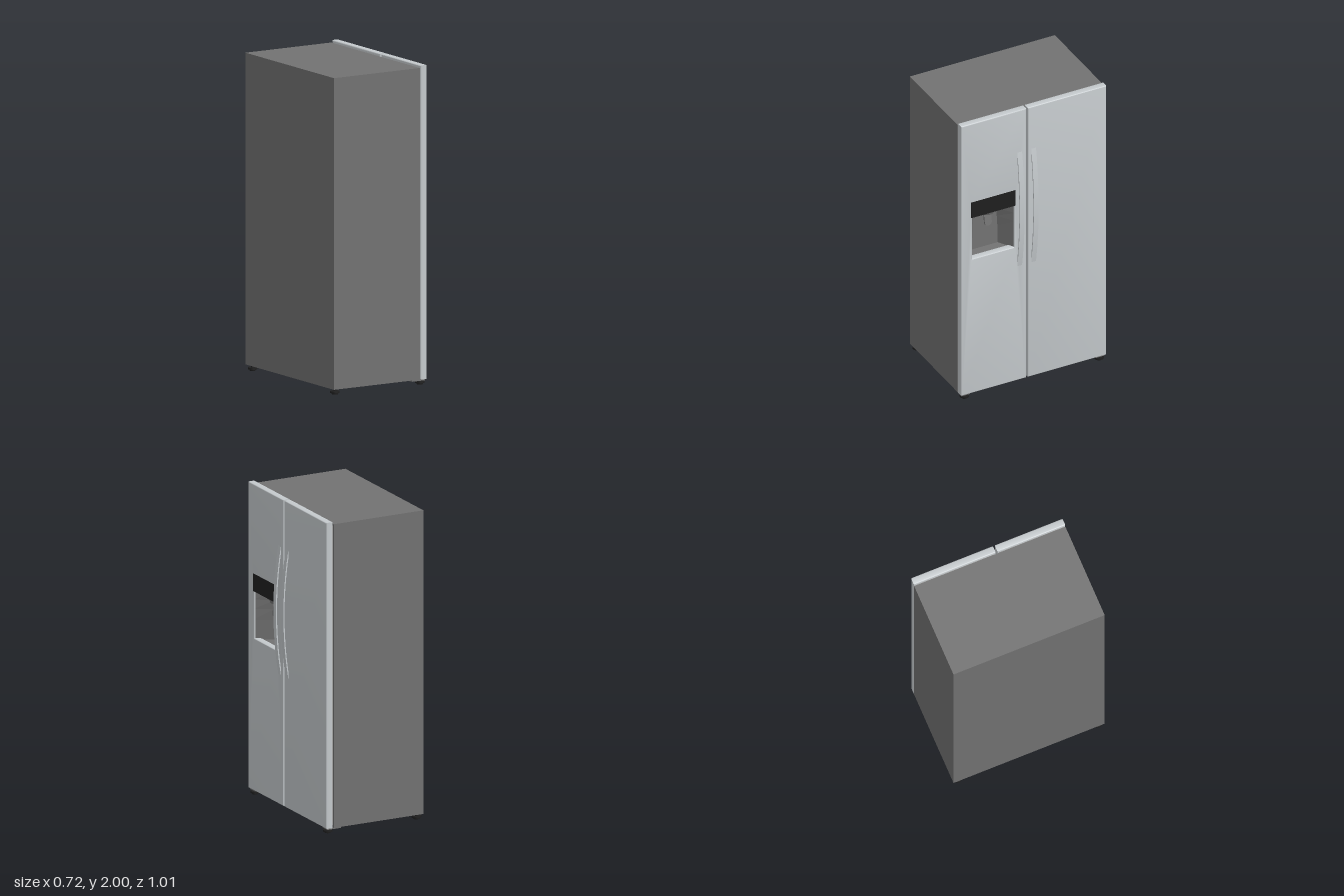
import * as THREE from 'three';
import { toCreasedNormals } from 'three/addons/utils/BufferGeometryUtils.js';

// The doors face +x.
export function createModel() {
  const root = new THREE.Group();
  root.name = 'refrigerator';
  const material = (name, color, side = THREE.FrontSide) => {
    const m = new THREE.MeshStandardMaterial({ color, side });
    m.name = name;
    return m;
  };
  const cabinetGrey = material('cabinet grey', 0x727272);
  const recessGrey = material('recess grey', 0x737373, THREE.DoubleSide);
  const steel = material('door steel', 0xc5cacd);
  const black = material('black plastic', 0x1f1f1f);
  const sealGrey = material('seal grey', 0x85827e);

  const add = (name, geometry, mat, parent = root) => {
    const mesh = new THREE.Mesh(geometry, mat);
    mesh.name = name;
    parent.add(mesh);
    return mesh;
  };
  const box = (name, [x0, x1], [y0, y1], [z0, z1], mat) => {
    const g = new THREE.BoxGeometry(x1 - x0, y1 - y0, z1 - z0);
    g.translate((x0 + x1) / 2, (y0 + y1) / 2, (z0 + z1) / 2);
    return add(name, g, mat);
  };
  const rectPoints = (y0, y1, z0, z1) => [[-z1, y0], [-z0, y0], [-z0, y1], [-z1, y1]]
    .map(([u, v]) => new THREE.Vector2(u, v));
  // Panel in the y-z plane, extruded along x, with an optional opening
  const panel = (name, [x0, x1], rect, hole, bevel, mat) => {
    const shape = new THREE.Shape(rectPoints(...rect));
    if (hole) shape.holes.push(new THREE.Path(rectPoints(...hole).reverse()));
    let g = new THREE.ExtrudeGeometry(shape, {
      depth: x1 - x0 - 2 * bevel, bevelEnabled: bevel > 0,
      bevelSize: bevel, bevelThickness: bevel, bevelOffset: -bevel, bevelSegments: 3,
    });
    g.rotateY(Math.PI / 2).translate(x0 + bevel, 0, 0);
    if (bevel) g = toCreasedNormals(g, 0.7);
    return add(name, g, mat);
  };

  // Cabinet with a pocket for the dispenser
  const mid = 0.283, half = 0.153, low = 1.005, high = 1.428, sill = 1.315;
  const front = 0.322, back = 0.212;
  const opening = [low, high, mid - half, mid + half];
  box('cabinetRear', [-0.357, 0.18], [0.035, 1.985], [-0.505, 0.503], cabinetGrey);
  panel('cabinetFront', [0.18, 0.27], [0.035, 1.985, -0.505, 0.503], opening, 0, cabinetGrey);

  // Doors and their seals
  const b = 0.007;
  const cut = [low + b, high - b, mid - half + b, mid + half - b];
  panel('freezerDoor', [0.275, front], [0.035, 2, 0.053, 0.505], cut, b, steel);
  panel('fridgeDoor', [0.275, front], [0.035, 2, -0.505, 0.041], null, b, steel);
  panel('freezerSeal', [0.27, 0.281], [0.05, 1.975, 0.062, 0.495], opening, 0, sealGrey);
  box('fridgeSeal', [0.27, 0.281], [0.05, 1.975], [-0.495, 0.032], sealGrey);

  // Dispenser recess: slanted side walls that lean in towards the top
  const rows = [[low, 0.088], [1.13, 0.087], [1.2, 0.083], [1.26, 0.077], [sill + 0.01, 0.067]]
    .map(([y, w]) => [[front, y, mid + half], [back, y, mid + w], [back, y, mid - w], [front, y, mid - half]]);
  const positions = [];
  const quad = (p, q, r, s) => positions.push(...p, ...q, ...r, ...p, ...r, ...s);
  for (let i = 0; i < rows.length - 1; i++) {
    for (let j = 0; j < 3; j++) quad(rows[i][j], rows[i][j + 1], rows[i + 1][j + 1], rows[i + 1][j]);
  }
  quad(...[...rows[0]].reverse());
  quad(...rows[rows.length - 1]);
  const recess = new THREE.BufferGeometry();
  recess.setAttribute('position', new THREE.Float32BufferAttribute(positions, 3));
  recess.computeVertexNormals();
  add('dispenserRecess', recess, recessGrey);

  // Control panel above the recess
  box('controlPanel', [0.285, front + 0.002], [sill, high], [mid - half, mid + half], black);

  // Spout funnel and lever
  const funnel = new THREE.CylinderGeometry(0.055, 0.033, 0.047, 24);
  funnel.scale(0.7, 1, 1).translate(0.258, 1.294, mid);
  add('spout', funnel, recessGrey);
  const lever = new THREE.Shape();
  lever.moveTo(-0.026, 0.1);
  lever.lineTo(-0.024, 0.02);
  lever.quadraticCurveTo(-0.022, 0, 0, 0);
  lever.quadraticCurveTo(0.022, 0, 0.024, 0.02);
  lever.lineTo(0.026, 0.1);
  const leverGeometry = new THREE.ExtrudeGeometry(lever, { depth: 0.012, bevelEnabled: false });
  leverGeometry.rotateY(Math.PI / 2).rotateZ(0.15).translate(0.25, 1.18, mid);
  add('lever', leverGeometry, recessGrey);

  // Bowed handles
  const bow = new THREE.Shape();
  const y0 = 0.855, y1 = 1.708, steps = 20;
  const bowPoint = (t, rise) => [front - 0.002 + rise * (1 - (2 * t - 1) ** 2), y0 + (y1 - y0) * t];
  bow.moveTo(front - 0.002, y0);
  for (let i = 1; i <= steps; i++) bow.lineTo(...bowPoint(i / steps, 0.037));
  for (let i = steps; i >= 0; i--) {
    const [x, y] = bowPoint(i / steps, 0.037);
    bow.lineTo(x - 0.008, y);
  }
  for (const [name, z] of [['freezerHandle', 0.082], ['fridgeHandle', -0.015]]) {
    const g = new THREE.ExtrudeGeometry(bow, { depth: 0.033, bevelEnabled: false });
    add(name, toCreasedNormals(g, 0.5), steel).position.z = z;
  }

  // Hinge brackets and levelling feet
  for (const side of [-1, 1]) {
    const z = side * 0.468;
    box('hingeBracket', [0.215, 0.312], [0.026, 0.036], [z - 0.03, z + 0.03], cabinetGrey);
    for (const x of [-0.328, 0.293]) {
      const foot = new THREE.Group();
      foot.name = 'foot';
      foot.position.set(x, 0, z);
      root.add(foot);
      add('footBase', new THREE.CylinderGeometry(0.022, 0.019, 0.01, 16).translate(0, 0.005, 0), black, foot);
      add('footDisc', new THREE.CylinderGeometry(0.03, 0.03, 0.011, 16).translate(0, 0.0145, 0), black, foot);
      add('footStem', new THREE.CylinderGeometry(0.01, 0.01, 0.02, 12).translate(0, 0.028, 0), black, foot);
    }
  }
  return root;
}
